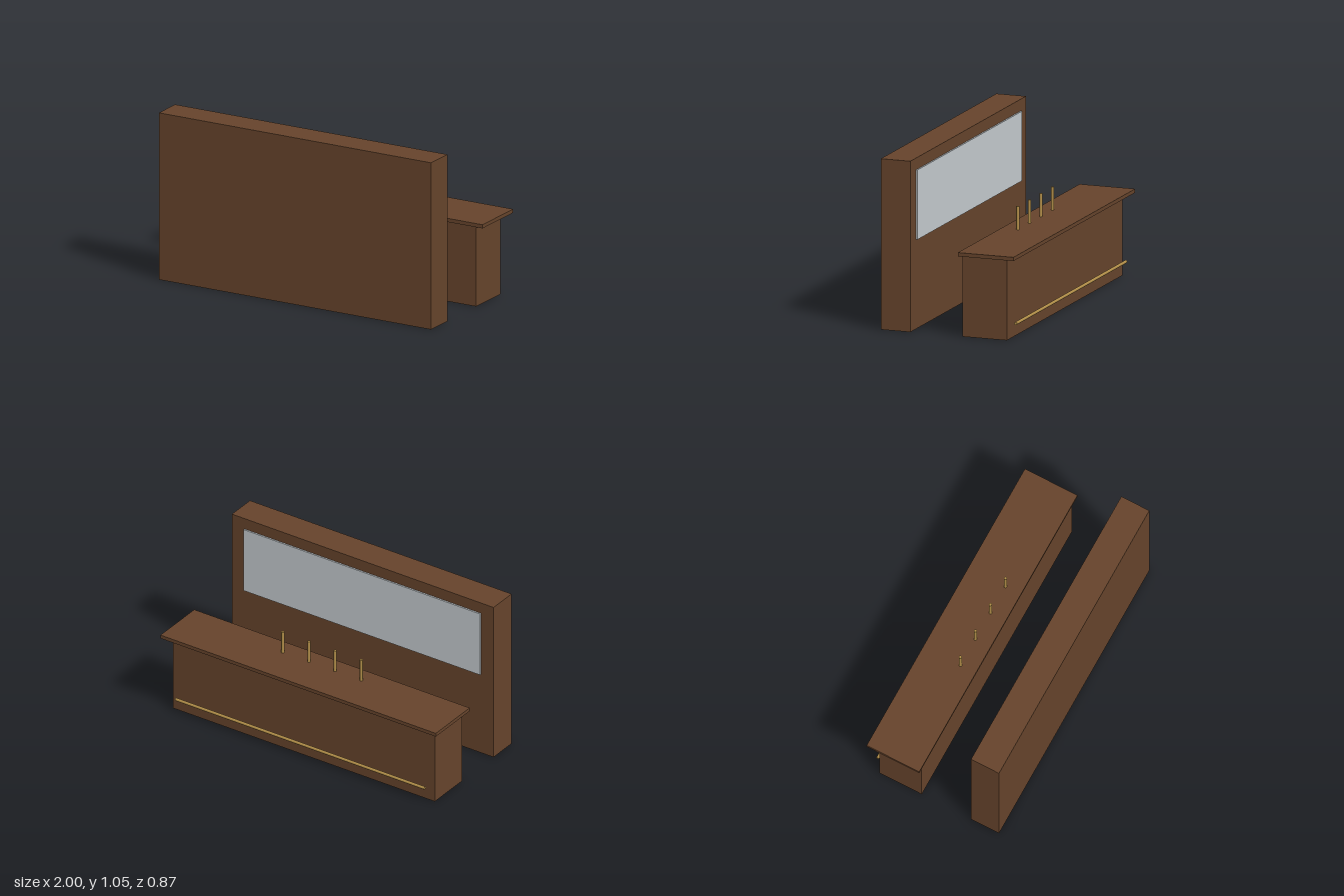
import * as THREE from 'three';

const material = (name, color) => {
  const m = new THREE.MeshStandardMaterial({ color });
  m.name = name;
  return m;
};

export function createModel() {
  const wood = material('darkWood', 0x65432b);
  const brass = material('brass', 0xb08d48);
  const glass = material('mirrorGlass', 0xc3c9cd);
  const model = new THREE.Group();
  model.name = 'barCounter';

  // Box given by its limits on y and z, centred on x
  const box = (name, mat, width, y0, y1, z0, z1) => {
    const mesh = new THREE.Mesh(new THREE.BoxGeometry(width, y1 - y0, z1 - z0), mat);
    mesh.name = name;
    mesh.position.set(0, (y0 + y1) / 2, (z0 + z1) / 2);
    model.add(mesh);
  };

  const rod = (name, length, x, y, z) => {
    const mesh = new THREE.Mesh(new THREE.CylinderGeometry(0.0095, 0.0095, length, 12), brass);
    mesh.name = name;
    mesh.position.set(x, y, z);
    model.add(mesh);
    return mesh;
  };

  // Back wall with its mirror
  box('backWall', wood, 1.9, 0, 1.048, 0.246, 0.436);
  box('mirror', glass, 1.715, 0.549, 0.976, 0.236, 0.246);

  // Counter with overhanging top
  box('counterBody', wood, 1.9, 0, 0.502, -0.374, -0.089);
  box('counterTop', wood, 2, 0.502, 0.525, -0.436, -0.079);

  // Foot rail along the customer side
  rod('footRail', 1.81, 0, 0.097, -0.413).rotation.z = Math.PI / 2;

  // Row of beer taps
  for (let i = 0; i < 4; i++) rod('tap', 0.143, (i - 1.5) * 0.19, 0.5965, -0.184);

  return model;
}
